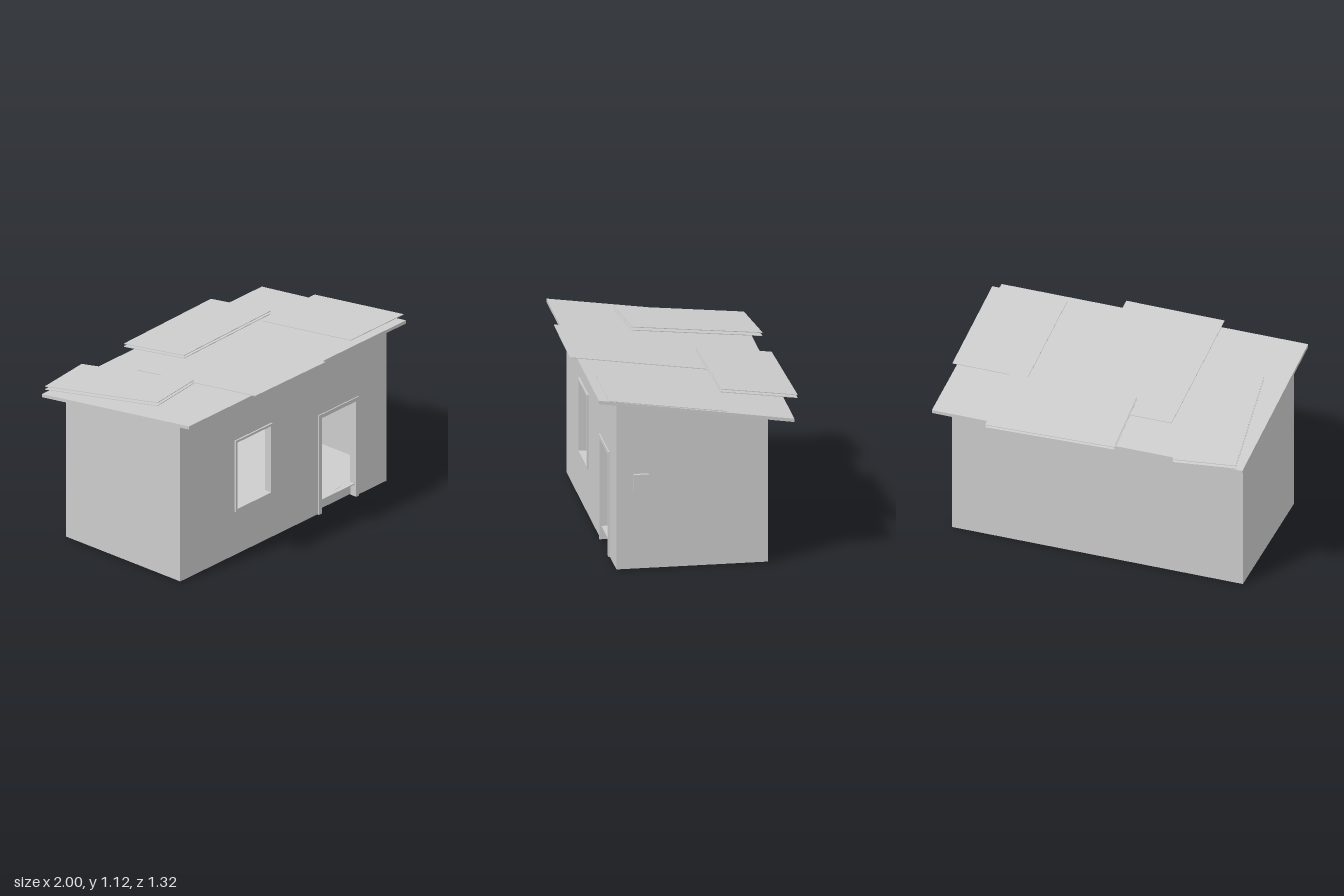
import * as THREE from 'three';

const grey = new THREE.MeshStandardMaterial({ color: 0xcccccc });
grey.name = 'plainGrey';

// Walls, floor and roof limits
const X0 = -0.95, X1 = 0.91, Z0 = -0.435, Z1 = 0.49, WALL = 0.006;
const SLOPE = 0.143;
const roofTop = z => 1.099 - SLOPE * (0.605 - z);
const wallTop = z => roofTop(z) - 0.021;

export function createModel() {
  const model = new THREE.Group();
  model.name = 'shed';

  const add = (name, geometry) => {
    const mesh = new THREE.Mesh(geometry, grey);
    mesh.name = name;
    model.add(mesh);
    return mesh;
  };
  const box = (name, x0, x1, y0, y1, z0, z1) =>
    add(name, new THREE.BoxGeometry(x1 - x0, y1 - y0, z1 - z0))
      .position.set((x0 + x1) / 2, (y0 + y1) / 2, (z0 + z1) / 2);
  const outline = pts => new THREE.Shape(pts.map(p => new THREE.Vector2(...p)));
  const extrude = (shape, depth) =>
    new THREE.ExtrudeGeometry(shape, { depth, bevelEnabled: false });
  const rect = (x0, x1, y0, y1) => [[x0, y0], [x1, y0], [x1, y1], [x0, y1]];

  // Front wall with a window hole and a doorway notch
  const front = outline([[X0, 0.004], [0.31, 0.004], [0.31, 0.65], [0.64, 0.65],
    [0.64, 0.004], [X1, 0.004], [X1, wallTop(Z1)], [X0, wallTop(Z1)]]);
  front.holes.push(outline(rect(-0.45, -0.135, 0.305, 0.76)));
  add('frontWall', extrude(front, WALL)).position.z = Z1 - WALL;

  // Back wall and sloping side walls
  box('backWall', X0, X1, 0.004, wallTop(Z0), Z0, Z0 + WALL);
  const side = outline([[-Z1, 0.004], [-Z0, 0.004], [-Z0, wallTop(Z0)], [-Z1, wallTop(Z1)]]);
  for (const [name, x] of [['rightWall', X0], ['leftWall', X1 - WALL]]) {
    const mesh = add(name, extrude(side, WALL));
    mesh.rotation.y = Math.PI / 2;
    mesh.position.x = x;
  }

  // Raised floor and the riser below the doorway
  box('floor', X0 + WALL, X1 - WALL, 0.079, 0.085, Z0 + WALL, Z1 - WALL);
  box('threshold', 0.32, 0.63, 0.004, 0.0855, 0.445, 0.45);

  // Window frame
  const frame = outline(rect(-0.46, -0.125, 0.295, 0.77));
  frame.holes.push(outline(rect(-0.445, -0.14, 0.31, 0.755)));
  add('windowFrame', extrude(frame, 0.05)).position.z = 0.45;

  // Door frame: two jambs and a lintel
  const door = outline([[0.295, 0], [0.32, 0], [0.32, 0.64], [0.63, 0.64],
    [0.63, 0], [0.655, 0], [0.655, 0.665], [0.295, 0.665]]);
  add('doorFrame', extrude(door, 0.05)).position.z = 0.447;

  // Small box on the side wall
  box('wallBox', X1, 0.93, 0.49, 0.605, 0.295, 0.385);

  // Slab given by its plan corners [x, z], sheared to follow the roof slope
  const slab = (name, corners, lift, thickness) => {
    const geometry = extrude(outline(corners.map(([x, z]) => [x, -z])), thickness);
    geometry.rotateX(-Math.PI / 2);
    const p = geometry.attributes.position;
    for (let i = 0; i < p.count; i++) {
      p.setY(i, p.getY(i) - thickness + lift + roofTop(p.getZ(i)));
    }
    geometry.computeVertexNormals();
    add(name, geometry);
  };
  slab('roof', [[-1, -0.585], [0.985, -0.585], [0.96, 0.605], [-1, 0.605]], 0, 0.021);

  // Loose sheets laid on the roof, some stacked in pairs
  const sheets = [
    ['tiltedSheet', [[-0.96, -0.595], [-0.575, -0.645], [-0.465, 0.165], [-0.855, 0.22]], [0.017, 0.037]],
    ['middleSheet', [[-0.45, -0.31], [0.18, -0.31], [0.18, 0.655], [-0.45, 0.65]], [0.014]],
    ['backSheet', [[-0.2, -0.64], [0.615, -0.665], [0.63, -0.195], [-0.18, -0.17]], [0.02, 0.038]],
    ['cornerSheet', [[0.52, -0.17], [1, -0.17], [1, 0.55], [0.52, 0.55]], [0.017]],
  ];
  for (const [name, corners, lifts] of sheets) {
    for (const lift of lifts) slab(name, corners, lift, 0.004);
  }
  return model;
}
